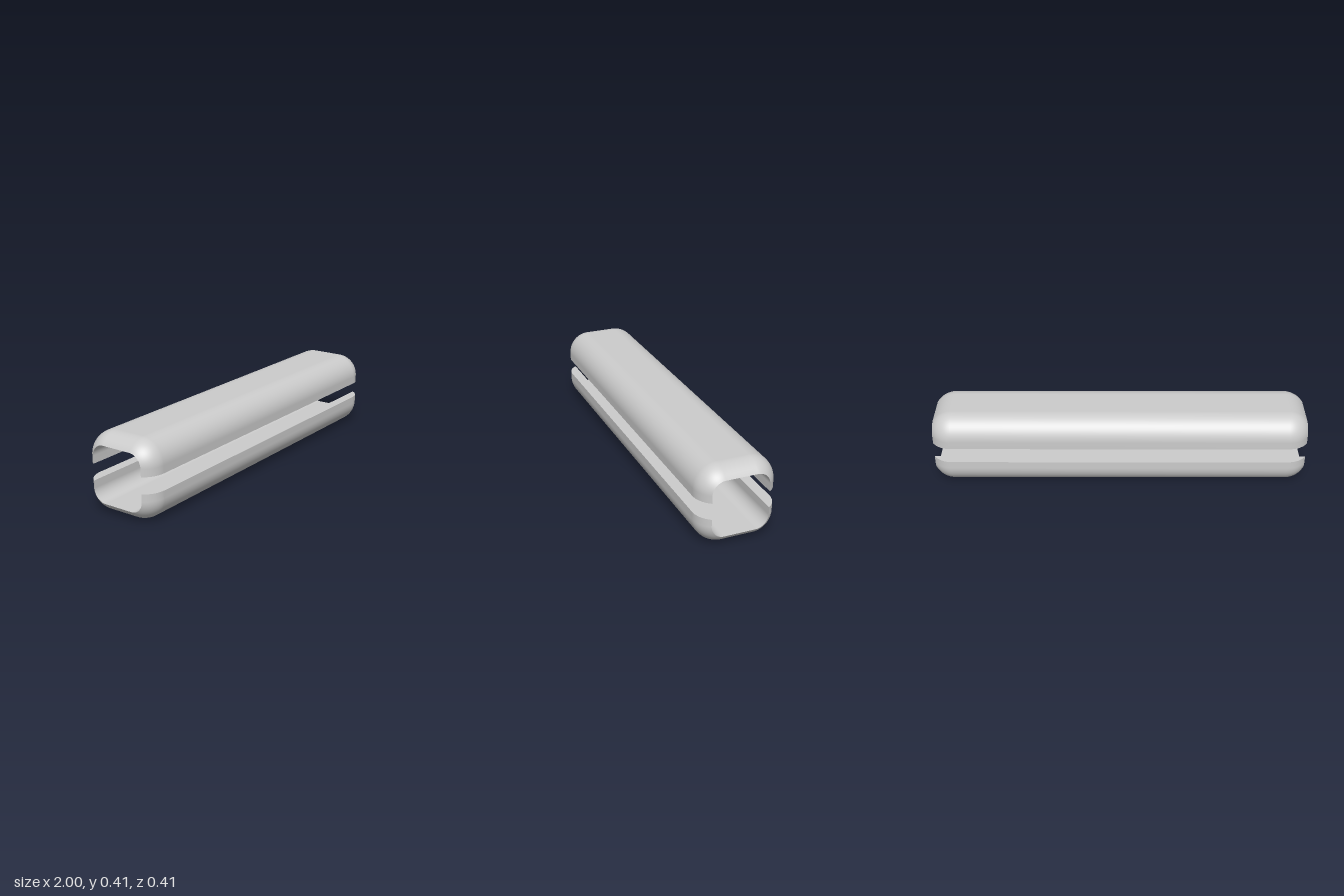
import * as THREE from 'three';
import { mergeGeometries } from 'three/addons/utils/BufferGeometryUtils.js';

const HALF = 0.2045;   // half height and half depth
const RADIUS = 0.122;  // outer corner radius
const WALL = 0.055;    // wall thickness
const SLOT = 0.043;    // half height of the side slot

// Surface through equal-length rows of points
function grid(rows) {
  const n = rows[0].length, index = [];
  for (let r = 0; r < rows.length - 1; r++) {
    for (let c = 0; c < n - 1; c++) {
      const a = r * n + c, b = a + n;
      index.push(a, b, a + 1, b, b + 1, a + 1);
    }
  }
  const geometry = new THREE.BufferGeometry().setFromPoints(rows.flat());
  geometry.setIndex(index);
  geometry.computeVertexNormals();
  return geometry;
}

// Arch-shaped section at x, inset by d: front slot edge, over the top, back slot edge
function section(x, d) {
  const r = RADIUS - d, c = HALF - RADIUS, steps = 20;
  const points = [new THREE.Vector3(x, SLOT, HALF - d)];
  for (const side of [0, 1]) {
    for (let i = 0; i <= steps; i++) {
      const a = (side + i / steps) * Math.PI / 2;
      points.push(new THREE.Vector3(x, c + r * Math.sin(a), (side ? -c : c) + r * Math.cos(a)));
    }
  }
  points.push(new THREE.Vector3(x, SLOT, d - HALF));
  return points;
}

function shellGeometry() {
  // Lengthwise profile: the rounded ends taper until they meet the tunnel
  const maxAngle = Math.acos(1 - WALL / RADIUS), steps = 12, profile = [];
  const start = 1 - RADIUS * Math.sin(maxAngle);
  for (let i = 0; i <= steps; i++) {
    const t = maxAngle * (1 - i / steps);
    profile.push([-start - RADIUS * Math.sin(t), RADIUS * (1 - Math.cos(t))]);
  }
  profile.push(...profile.map(([x, d]) => [-x, d]).reverse());

  const outer = profile.map(([x, d]) => section(x, d));
  const inner = profile.map(([x]) => section(x, WALL));
  const last = outer[0].length - 1;
  return mergeGeometries([
    grid(outer),
    grid([...inner].reverse()),
    // flat faces along the slot
    grid(outer.map((row, i) => [inner[i][0], row[0]])),
    grid(outer.map((row, i) => [row[last], inner[i][last]])),
  ]);
}

export function createModel() {
  const group = new THREE.Group();
  group.name = 'splitSleeve';
  const geometry = shellGeometry();
  const material = new THREE.MeshStandardMaterial({ color: 0xcccccc });
  for (const name of ['upperShell', 'lowerShell']) {
    const mesh = new THREE.Mesh(geometry, material);
    mesh.name = name;
    mesh.position.y = HALF;
    if (name === 'lowerShell') mesh.rotation.x = Math.PI;
    group.add(mesh);
  }
  return group;
}
